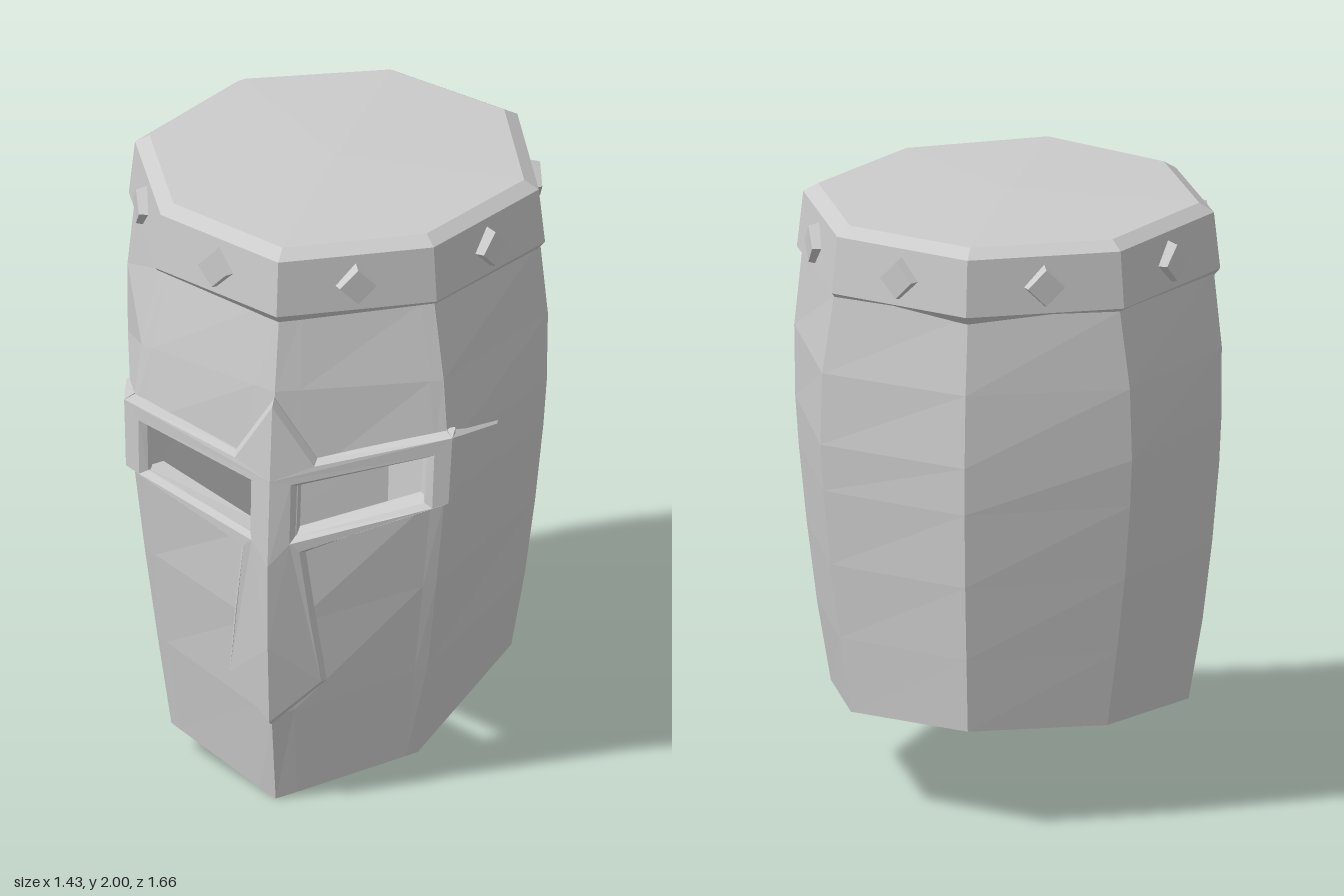
import * as THREE from 'three';

const material = new THREE.MeshStandardMaterial({ color: 0xcccccc, flatShading: true, side: THREE.DoubleSide });

// Vertical ridges of the eight-sided shell, as [y, x, z] from bottom to top
const FRONT = [[0, 0, 0.73], [0.3, 0, 0.78], [0.6, 0, 0.8], [0.9, 0, 0.803], [1.2, 0, 0.775], [1.5, 0, 0.74], [1.76, 0, 0.685]];
const CHEEK = [[0.11, 0.42, 0.49], [0.6, 0.48, 0.53], [1.08, 0.53, 0.56], [1.33, 0.545, 0.545], [1.76, 0.47, 0.465]];
const SIDE = [[0.28, 0.6, -0.03], [0.6, 0.655, -0.03], [1.0, 0.7, -0.04], [1.35, 0.72, -0.06], [1.5, 0.717, -0.06], [1.76, 0.69, -0.06]];
const REAR = [[0.33, 0.43, -0.57], [0.7, 0.48, -0.59], [1.0, 0.51, -0.61], [1.4, 0.53, -0.63], [1.76, 0.48, -0.61]];
const BACK = [[0.34, 0, -0.77], [0.7, 0, -0.805], [1.0, 0, -0.828], [1.25, 0, -0.828], [1.5, 0, -0.81], [1.76, 0, -0.77]];

function ridgeAt(ridge, y) {
  let k = 0;
  while (k < ridge.length - 2 && y > ridge[k + 1][0]) k++;
  const [y0, x0, z0] = ridge[k], [y1, x1, z1] = ridge[k + 1];
  const t = THREE.MathUtils.clamp((y - y0) / (y1 - y0), 0, 1);
  return new THREE.Vector3(x0 + (x1 - x0) * t, y, z0 + (z1 - z0) * t);
}

// Point of the shell's front or side for a given x >= 0 and y, scaled outward by s
function surfacePoint(x, y, s) {
  const f = ridgeAt(FRONT, y), c = ridgeAt(CHEEK, y), d = ridgeAt(SIDE, y);
  const p = x <= c.x ? f.lerp(c, x / c.x) : c.clone().lerp(d, (x - c.x) / (d.x - c.x));
  return new THREE.Vector3(p.x * s, y, p.z * s);
}

// Collects triangles and quads into one flat-shaded geometry
function faceBuilder() {
  const pos = [];
  const tri = (...pts) => pts.forEach((p) => pos.push(p.x, p.y, p.z));
  const quad = (a, b, c, d) => { tri(a, b, c); tri(a, c, d); };
  const build = () => {
    const g = new THREE.BufferGeometry();
    g.setAttribute('position', new THREE.Float32BufferAttribute(pos, 3));
    g.computeVertexNormals();
    return g;
  };
  return { tri, quad, build };
}

function addMesh(parent, geometry, name) {
  const mesh = new THREE.Mesh(geometry, material);
  mesh.name = name;
  parent.add(mesh);
  return mesh;
}

// Thick shell with two slanted eye openings
function shellGeometry() {
  const half = [[FRONT, CHEEK, 0], [FRONT, CHEEK, 0.15], [FRONT, CHEEK, 0.92], [CHEEK, CHEEK, 1],
    [SIDE, SIDE, 1], [REAR, REAR, 1], [BACK, BACK, 1]].map((c) => [...c, 1]);
  const mirrored = half.slice(1, 6).reverse().map(([a, b, t]) => [a, b, t, -1]);
  const columns = [...half, ...mirrored];
  const n = columns.length, ROWS = 7, EYE_ROW = 3, INNER = 0.9;

  const point = (i, j, s) => {
    const [a, b, t, sign] = columns[i % n];
    const bottom = a[0][0] + (b[0][0] - a[0][0]) * t;
    const low = 0.97 + 0.125 * t, high = 1.155 + 0.1 * t;
    const y = j <= 3 ? bottom + (low - bottom) * j / 3 : [high, 1.5, 1.76][j - 4];
    const p = ridgeAt(a, y).lerp(ridgeAt(b, y), t);
    return new THREE.Vector3(p.x * s * sign, y, p.z * s);
  };

  const f = faceBuilder();
  const top = new THREE.Vector3(0, 1.76, 0);
  for (let i = 0; i < n; i++) {
    for (let j = 0; j < ROWS - 1; j++) {
      const cell = (s) => [point(i, j, s), point(i + 1, j, s), point(i + 1, j + 1, s), point(i, j + 1, s)];
      const o = cell(1), q = cell(INNER);
      if (j === EYE_ROW && (i === 1 || i === n - 2)) {
        // Walls of the eye opening
        for (let k = 0; k < 4; k++) f.quad(o[k], o[(k + 1) % 4], q[(k + 1) % 4], q[k]);
      } else {
        f.quad(...o);
        f.quad(...q.reverse());
      }
    }
    // Lower rim and inner ceiling
    f.quad(point(i, 0, INNER), point(i + 1, 0, INNER), point(i + 1, 0, 1), point(i, 0, 1));
    f.tri(top, point(i + 1, ROWS - 1, INNER), point(i, ROWS - 1, INNER));
  }
  return f.build();
}

// Corners of the crown band, [x, z], going round from the front
const BAND_HALF = [[0, 0.72], [0.48, 0.47], [0.71, -0.05], [0.49, -0.59], [0, -0.8]];
const BAND = [...BAND_HALF, ...BAND_HALF.slice(1, 4).reverse().map(([x, z]) => [-x, z])];

// Crown band and roof, stacked from scaled rings
function crownGeometry() {
  const rings = [[0.9, 1.735], [0.965, 1.735], [1, 1.765], [0.97, 1.955], [0.9, 1.985], [0, 2]];
  const point = (i, [s, y]) => {
    const [x, z] = BAND[i % 8];
    return new THREE.Vector3(x * s, y, (z + 0.04) * s - 0.04);
  };
  const f = faceBuilder();
  for (let i = 0; i < 8; i++) {
    for (let j = 0; j < rings.length - 1; j++) {
      const a = point(i, rings[j]), b = point(i + 1, rings[j]);
      const c = point(i + 1, rings[j + 1]), d = point(i, rings[j + 1]);
      if (rings[j + 1][0] === 0) f.tri(a, b, c);
      else f.quad(a, b, c, d);
    }
  }
  return f.build();
}

// Half of the raised visor cross, bent onto the shell
function visorGeometry() {
  const v = (pts) => pts.map(([x, y]) => new THREE.Vector2(x, y));
  const shape = new THREE.Shape(v([[0, 0.32], [0.155, 0.45], [0.125, 0.7], [0.095, 0.945], [0.55, 1.085],
    [0.56, 1.32], [0.135, 1.245], [0, 1.46], [0, 1.2], [0, 0.9], [0, 0.6]]));
  shape.holes.push(new THREE.Path(v([[0.065, 0.975], [0.065, 1.185], [0.505, 1.262], [0.5, 1.07]])));
  const g = new THREE.ExtrudeGeometry(shape, {
    depth: 0.01, bevelThickness: 0.03, bevelSize: 0.015, bevelSegments: 1,
  });
  const pos = g.attributes.position;
  for (let i = 0; i < pos.count; i++) {
    const p = surfacePoint(Math.max(0, pos.getX(i)) / 1.04, pos.getY(i), 1 + pos.getZ(i));
    pos.setXYZ(i, p.x, p.y, p.z);
  }
  g.computeVertexNormals();
  return g;
}

// Pointed end of the visor, folded round onto the side of the shell
function visorTipGeometry() {
  const outer = [surfacePoint(0.538, 1.32, 1.04), surfacePoint(0.529, 1.085, 1.04), surfacePoint(0.622, 1.24, 1.018)];
  const base = [surfacePoint(0.538, 1.335, 0.98), surfacePoint(0.529, 1.065, 0.98), surfacePoint(0.635, 1.24, 0.98)];
  const f = faceBuilder();
  f.tri(...outer);
  for (let k = 0; k < 3; k++) f.quad(base[k], base[(k + 1) % 3], outer[(k + 1) % 3], outer[k]);
  return f.build();
}

export function createModel() {
  const model = new THREE.Group();
  model.name = 'helmet';
  addMesh(model, shellGeometry(), 'shell');
  addMesh(model, crownGeometry(), 'crownBand');

  // Visor, mirrored left and right
  const visor = visorGeometry(), tip = visorTipGeometry();
  for (const [side, name] of [[1, 'left'], [-1, 'right']]) {
    const group = new THREE.Group();
    group.name = name + 'Visor';
    group.scale.x = side;
    addMesh(group, visor, 'visorPlate');
    addMesh(group, tip, 'visorTip');
    model.add(group);
  }

  // Diamond studs, one on each face of the band
  const stud = new THREE.CylinderGeometry(0.062, 0.075, 0.05, 4).rotateX(Math.PI / 2);
  for (let i = 0; i < 8; i++) {
    const [x0, z0] = BAND[i], [x1, z1] = BAND[(i + 1) % 8];
    const out = new THREE.Vector3(-(z1 - z0), 0, x1 - x0).normalize();
    const mesh = addMesh(model, stud, 'stud');
    mesh.position.set((x0 + x1) / 2 * 0.985, 1.855, (z0 + z1) / 2 * 0.985);
    mesh.lookAt(mesh.position.clone().add(out));
    mesh.position.addScaledVector(out, 0.005);
  }
  return model;
}
